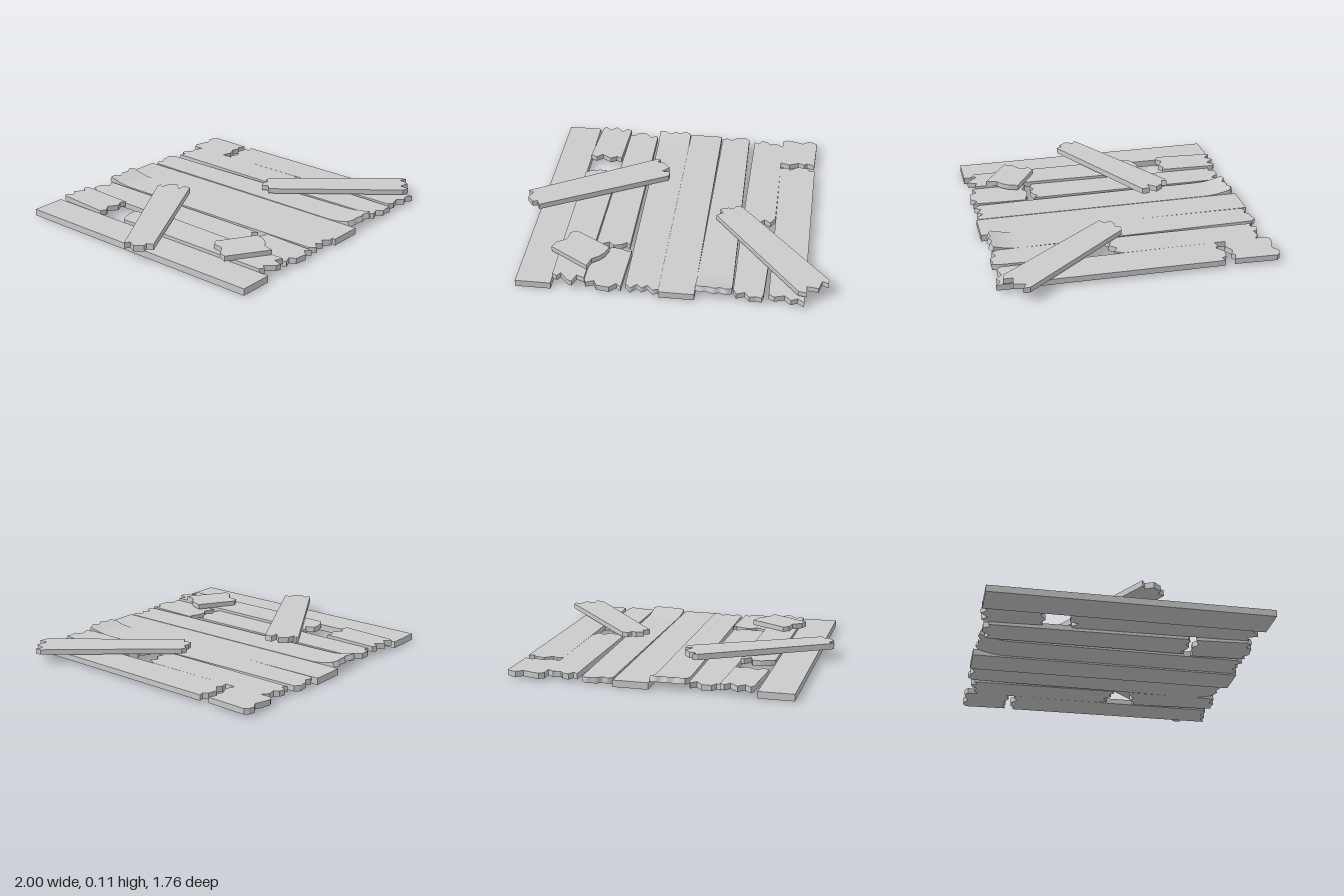
import * as THREE from 'three';

const material = new THREE.MeshStandardMaterial({ color: 0xcccccc, flatShading: true });
const smooth = new THREE.MeshStandardMaterial({ color: 0xcccccc });

// Flat board: outline as x, z pairs, extruded from y0 to y1
function board(name, y0, y1, xz) {
  const pts = [];
  for (let i = 0; i < xz.length; i += 2) pts.push(new THREE.Vector2(xz[i], -xz[i + 1]));
  const geo = new THREE.ExtrudeGeometry(new THREE.Shape(pts), { depth: y1 - y0, bevelEnabled: false });
  geo.rotateX(-Math.PI / 2).translate(0, y0, 0);
  const mesh = new THREE.Mesh(geo, material);
  mesh.name = name;
  return mesh;
}

// Linear lookup in a row of evenly spaced values
function sample(row, u) {
  const f = u * (row.length - 1), i = Math.min(Math.floor(f), row.length - 2);
  return THREE.MathUtils.lerp(row[i], row[i + 1], f - i);
}

// Warped board with torn ends; curlEnd (-1 back, 1 front) bends upward
function curledBoard(name, y0, y1, backX, frontX, backZ, frontZ, curlEnd) {
  const h = y1 - y0, start = 0.66, range = 0.2, lift = 0.035;
  const geo = new THREE.BoxGeometry(1, h, 1, 12, 1, 40);
  const p = geo.attributes.position;
  for (let i = 0; i < p.count; i++) {
    const u = p.getX(i) + 0.5, t = p.getZ(i) + 0.5;
    const x = THREE.MathUtils.lerp(
      THREE.MathUtils.lerp(backX[0], backX[1], u),
      THREE.MathUtils.lerp(frontX[0], frontX[1], u), t);
    const z = THREE.MathUtils.lerp(sample(backZ, u), sample(frontZ, u), t);
    const s = Math.max(0, (z * curlEnd - start) / range);
    const angle = Math.atan(2 * lift * s / range);
    const v = p.getY(i) + h / 2;
    p.setXYZ(i, x, y0 + lift * s * s + v * Math.cos(angle), z - curlEnd * v * Math.sin(angle));
  }
  geo.computeVertexNormals();
  const mesh = new THREE.Mesh(geo, smooth);
  mesh.name = name;
  return mesh;
}

export function createModel() {
  const group = new THREE.Group();
  group.name = 'brokenPlankFloor';

  // Two intact planks
  for (const [name, x0, x1] of [['outerPlank', -0.9, -0.68], ['centrePlank', -0.02, 0.2]])
    group.add(board(name, 0, 0.043, [x0, -0.88, x1, -0.88, x1, 0.88, x0, 0.88]));

  // Raised second plank, snapped in two
  group.add(board('raisedPlankBack', 0.03, 0.065, [
    -0.655, -0.85, -0.64, -0.88, -0.6, -0.84, -0.56, -0.88, -0.51, -0.83, -0.48, -0.87, -0.45, -0.85,
    -0.465, -0.49, -0.5, -0.505, -0.54, -0.48, -0.6, -0.52, -0.64, -0.485, -0.68, -0.505]));
  group.add(board('raisedPlankFront', 0.03, 0.065, [
    -0.68, -0.29, -0.65, -0.31, -0.59, -0.33, -0.54, -0.33, -0.52, -0.27, -0.48, -0.31, -0.46, -0.3,
    -0.48, 0.83, -0.53, 0.81, -0.55, 0.87, -0.58, 0.86, -0.63, 0.8, -0.65, 0.83, -0.68, 0.81]));

  // Third plank, snapped near the front
  group.add(board('thirdPlankBack', 0.012, 0.048, [
    -0.45, -0.82, -0.42, -0.81, -0.4, -0.85, -0.34, -0.85, -0.3, -0.8, -0.265, -0.83, -0.255, -0.81,
    -0.255, 0.46, -0.28, 0.43, -0.31, 0.455, -0.36, 0.47, -0.39, 0.44, -0.43, 0.46, -0.47, 0.44]));
  group.add(board('thirdPlankFront', 0.012, 0.048, [
    -0.465, 0.49, -0.4, 0.52, -0.36, 0.49, -0.3, 0.5, -0.26, 0.52, -0.235, 0.51,
    -0.25, 0.87, -0.28, 0.84, -0.32, 0.88, -0.4, 0.87, -0.42, 0.83, -0.47, 0.85, -0.485, 0.81]));

  // Planks with a curled end
  group.add(curledBoard('curledBackPlank', 0.01, 0.046, [-0.24, -0.02], [-0.225, -0.02],
    [-0.86, -0.865, -0.84, -0.86, -0.85, -0.87, -0.85], [0.83, 0.87, 0.83, 0.86, 0.83, 0.87, 0.86], -1));
  group.add(curledBoard('curledFrontPlank', 0.01, 0.046, [0.21, 0.4], [0.2, 0.425],
    [-0.84, -0.86, -0.84, -0.87, -0.87, -0.88, -0.85], [0.83, 0.85, 0.84, 0.86, 0.84, 0.86, 0.84], 1));

  // Seventh plank, broken in the middle
  group.add(board('seventhPlankBack', 0.014, 0.05, [
    0.44, -0.83, 0.47, -0.81, 0.49, -0.85, 0.53, -0.84, 0.55, -0.81, 0.6, -0.82, 0.64, -0.79,
    0.64, 0.06, 0.61, 0.115, 0.57, 0.085, 0.53, 0.13, 0.5, 0.11, 0.46, 0.14, 0.43, 0.12]));
  group.add(board('seventhPlankFront', 0.014, 0.05, [
    0.43, 0.27, 0.47, 0.25, 0.52, 0.29, 0.56, 0.27, 0.6, 0.31, 0.635, 0.3,
    0.615, 0.83, 0.605, 0.87, 0.57, 0.86, 0.53, 0.87, 0.5, 0.83, 0.45, 0.85, 0.43, 0.81]));

  // Eighth plank, broken near the back
  group.add(board('eighthPlankBack', 0.014, 0.05, [
    0.64, -0.86, 0.67, -0.88, 0.72, -0.87, 0.78, -0.85, 0.82, -0.88, 0.86, -0.87, 0.88, -0.85,
    0.87, -0.58, 0.82, -0.6, 0.8, -0.58, 0.76, -0.6, 0.7, -0.57, 0.64, -0.59]));
  group.add(board('eighthPlankFront', 0.014, 0.05, [
    0.64, -0.52, 0.68, -0.53, 0.71, -0.51, 0.76, -0.55, 0.82, -0.54, 0.84, -0.51, 0.875, -0.52,
    0.86, 0.88, 0.82, 0.85, 0.78, 0.87, 0.74, 0.83, 0.68, 0.85, 0.645, 0.83]));

  // Loose boards lying on top
  group.add(board('longLooseBoard', 0.072, 0.11, [
    -1, 0.03, -0.21, -0.44, -0.18, -0.44, -0.2, -0.41, -0.15, -0.4, -0.11, -0.35, -0.155, -0.3,
    -0.1, -0.3, -0.1, -0.25, -0.9, 0.18, -0.92, 0.14, -0.95, 0.15, -0.99, 0.1, -0.965, 0.05]));
  group.add(board('shortLooseBoard', 0.06, 0.093, [
    0.26, 0.13, 0.3, 0.1, 0.28, 0.06, 0.33, 0.04, 0.36, 0.05, 0.38, 0.015, 0.42, 0.02,
    1, 0.7, 1, 0.74, 0.96, 0.72, 0.94, 0.79, 0.87, 0.78, 0.87, 0.84, 0.82, 0.83]));
  group.add(board('looseFragment', 0.062, 0.096, [
    -0.73, 0.59, -0.71, 0.54, -0.65, 0.5, -0.64, 0.43, -0.6, 0.41,
    -0.37, 0.55, -0.39, 0.61, -0.42, 0.65, -0.46, 0.68, -0.48, 0.75]));

  return group;
}
